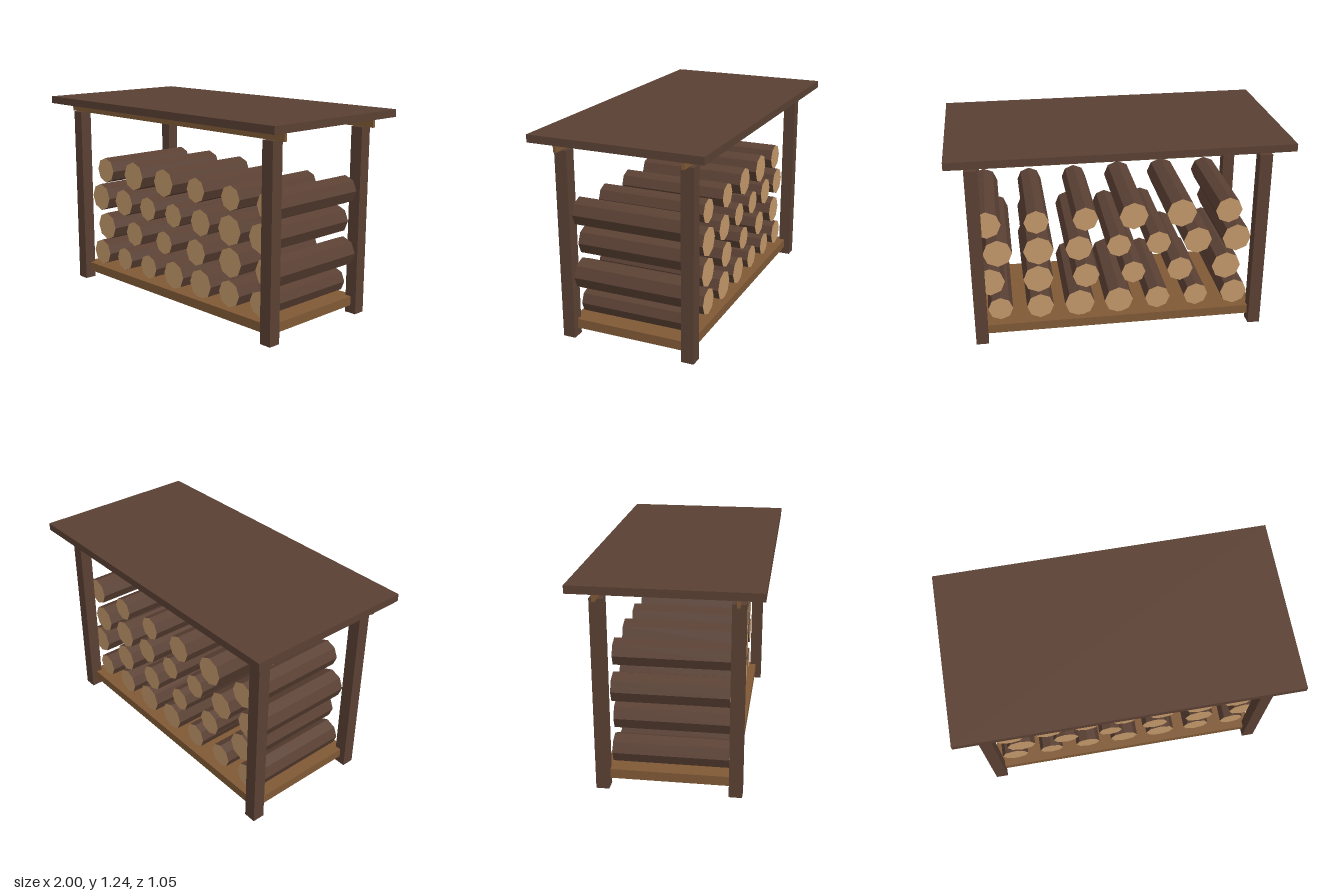
import * as THREE from 'three';

const mat = (name, color) => {
  const m = new THREE.MeshStandardMaterial({ color, flatShading: true });
  m.name = name;
  return m;
};

export function createModel() {
  const darkWood = mat('darkWood', 0x5a4033);
  const plankWood = mat('plankWood', 0x805936);
  const cutWood = mat('cutWood', 0xc2986a);

  const shed = new THREE.Group();
  shed.name = 'firewoodShelter';

  const box = (name, material, size, pos) => {
    const mesh = new THREE.Mesh(new THREE.BoxGeometry(...size), material);
    mesh.name = name;
    mesh.position.set(...pos);
    shed.add(mesh);
  };

  // Roof and floor boards
  box('roof', darkWood, [2, 0.045, 1.046], [0, 1.222, 0]);
  box('floor', plankWood, [1.714, 0.057, 0.762], [0, 0.078, 0]);

  // Corner posts with a rail along the front and back
  for (const z of [0.381, -0.381]) {
    const end = z > 0 ? 'front' : 'back';
    box(end + 'Rail', plankWood, [1.9, 0.047, 0.018], [0, 1.168, z]);
    box(end + 'LeftPost', darkWood, [0.076, 1.145, 0.076], [0.857, 0.5725, z]);
    box(end + 'RightPost', darkWood, [0.076, 1.145, 0.076], [-0.857, 0.5725, z]);
  }

  // Log radii, row by row from the bottom, right to left
  const rows = [
    [0.085, 0.076, 0.078, 0.089, 0.092, 0.083, 0.076],
    [0.091, 0.081, 0.075, 0.083, 0.091, 0.091],
    [0.09, 0.088, 0.077, 0.075, 0.083, 0.092, 0.088],
    [0.083, 0.092, 0.088, 0.077, 0.075, 0.086],
  ];
  const stack = new THREE.Group();
  stack.name = 'logStack';
  rows.forEach((radii, row) => {
    // Alternate rows are shifted and spaced wider
    const [start, step] = row % 2 ? [-0.677, 0.2935] : [-0.735, 0.245];
    radii.forEach((r, i) => {
      const geo = new THREE.CylinderGeometry(r, r, 0.672, 8).rotateX(Math.PI / 2);
      const log = new THREE.Mesh(geo, [darkWood, cutWood, cutWood]);
      log.name = `logRow${row + 1}Number${i + 1}`;
      log.position.set(start + step * i, 0.191 * (row + 1), 0);
      stack.add(log);
    });
  });
  shed.add(stack);

  return shed;
}
